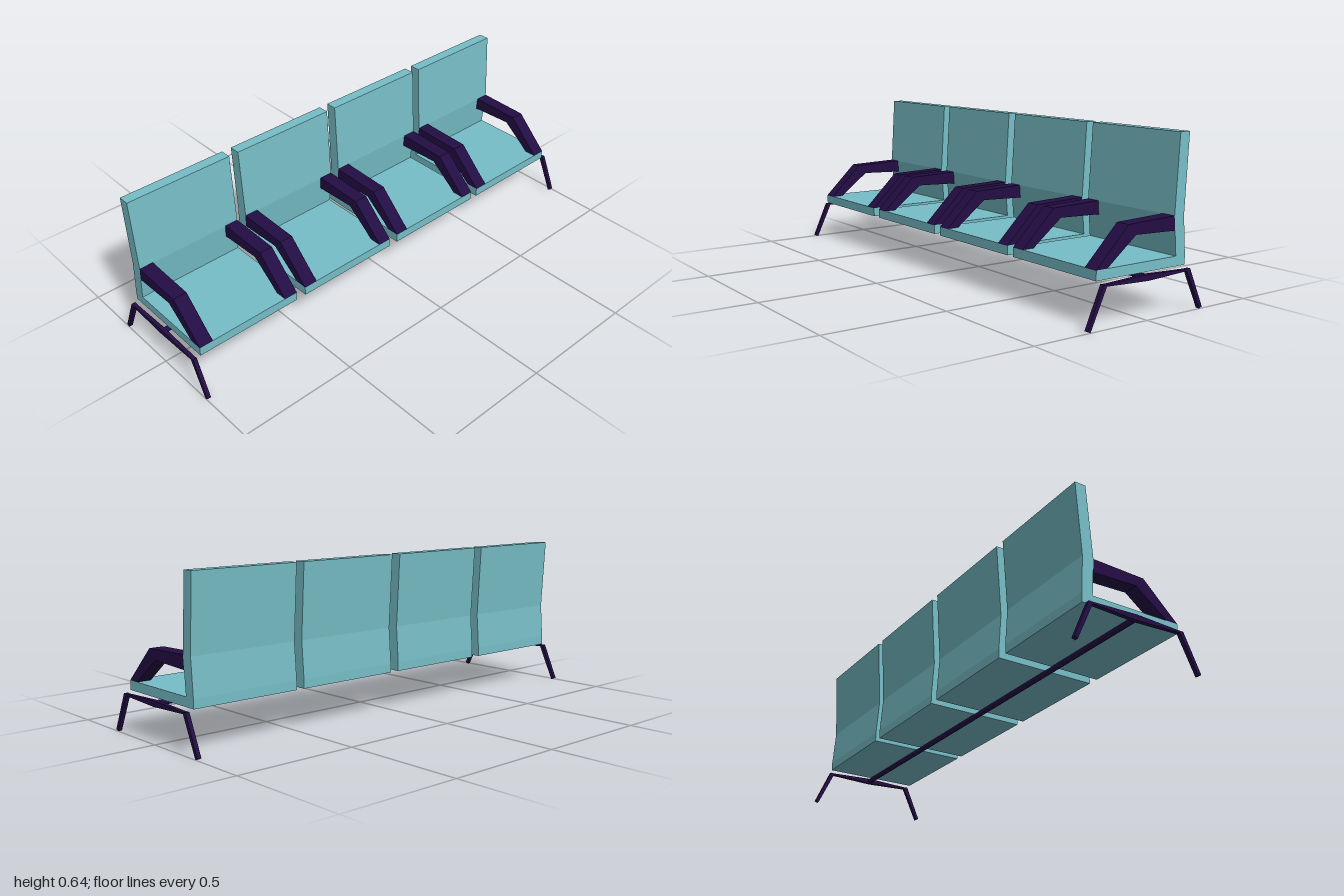
import * as THREE from 'three';

const upholstery = new THREE.MeshStandardMaterial({ color: 0x77bec7 });
upholstery.name = 'teal upholstery';
const frameMaterial = new THREE.MeshStandardMaterial({ color: 0x230d44 });
frameMaterial.name = 'dark purple frame';

// Extrudes a side profile of [z, y] points along x, from x0 to x0 + width
function sidePart(name, profile, x0, width, material) {
  const shape = new THREE.Shape(profile.map(([z, y]) => new THREE.Vector2(z, y)));
  const geometry = new THREE.ExtrudeGeometry(shape, { depth: width, bevelEnabled: false });
  geometry.rotateY(-Math.PI / 2);
  geometry.translate(x0 + width, 0, 0);
  const mesh = new THREE.Mesh(geometry, material);
  mesh.name = name;
  return mesh;
}

// Seat pad and slightly kinked backrest in one L-shaped section
const seatProfile = [
  [0.212, 0.163], [0.212, 0.2], [-0.165, 0.2], [-0.153, 0.346], [-0.171, 0.642],
  [-0.217, 0.642], [-0.2, 0.346], [-0.211, 0.2], [-0.211, 0.163],
];

// Sloping front strut and level arm
const armProfile = [
  [0.212, 0.2], [0.068, 0.34], [-0.154, 0.347], [-0.157, 0.293], [0.032, 0.3], [0.162, 0.2],
];

// Splayed legs joined by a cross bar that thickens at the rail
const legProfile = [
  [0.274, 0.006], [0.207, 0.156], [0.19, 0.155], [0, 0.163], [-0.19, 0.155], [-0.207, 0.156],
  [-0.274, 0.006], [-0.261, 0], [-0.191, 0.148], [0, 0.14], [0.191, 0.148], [0.261, 0],
];

const SEAT_WIDTH = 0.455;
const ARM_WIDTH = 0.058;
const LEG_WIDTH = 0.016;

export function createModel() {
  const model = new THREE.Group();
  model.name = 'bench';

  // Four seats, each with its own pair of armrests
  for (const x of [-0.97, -0.473, 0.024, 0.514]) {
    const seat = new THREE.Group();
    seat.name = 'seat';
    seat.add(
      sidePart('seatAndBackrest', seatProfile, x, SEAT_WIDTH, upholstery),
      sidePart('rightArmrest', armProfile, x, ARM_WIDTH, frameMaterial),
      sidePart('leftArmrest', armProfile, x + SEAT_WIDTH - ARM_WIDTH, ARM_WIDTH, frameMaterial),
    );
    model.add(seat);
  }

  // Leg frames at both ends
  model.add(
    sidePart('rightLegs', legProfile, -1, LEG_WIDTH, frameMaterial),
    sidePart('leftLegs', legProfile, 1 - LEG_WIDTH, LEG_WIDTH, frameMaterial),
  );

  // Long rail under the seats
  const railGeometry = new THREE.CylinderGeometry(0.011, 0.011, 1.998, 8);
  railGeometry.rotateZ(Math.PI / 2);
  const rail = new THREE.Mesh(railGeometry, frameMaterial);
  rail.name = 'rail';
  rail.position.y = 0.152;
  model.add(rail);

  return model;
}
